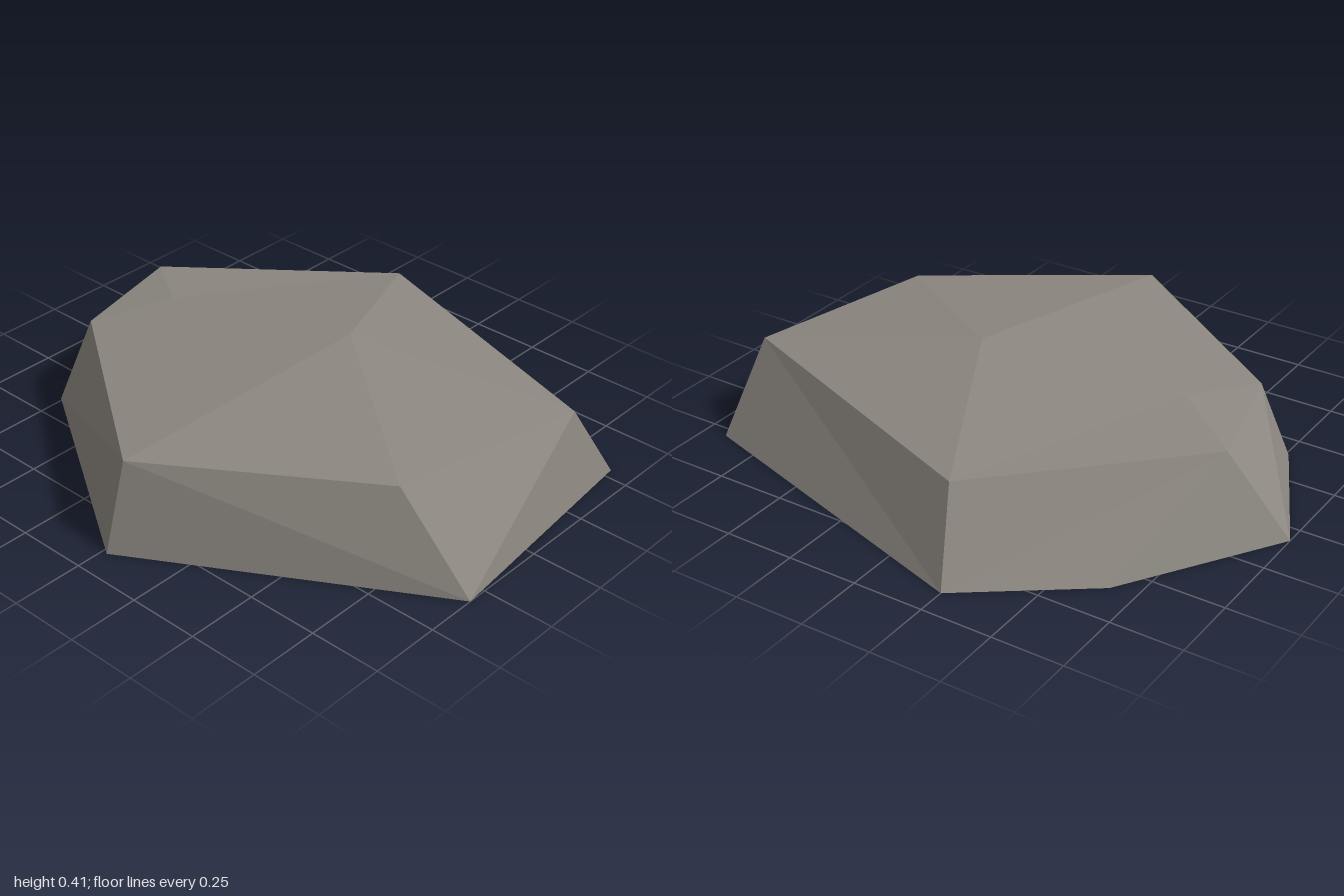
import * as THREE from 'three';

const stone = new THREE.MeshStandardMaterial({ color: 0x8c8780 });
stone.name = 'warm grey stone';
stone.side = THREE.DoubleSide;
stone.flatShading = true;

// Ground outline, clockwise from above, starting at the back: x, z
const base = [[-0.25, -0.9], [0.915, -0.54], [1, 0.32], [0.02, 0.9], [-0.76, 0.4], [-1, -0.07], [-0.66, -0.6]]
  .map(([x, z]) => [x, 0, z]);

// Shoulder rim, one point above each of the first six base points
const rim = [[-0.16, 0.27, -0.72], [0.875, 0.307, -0.35], [0.73, 0.305, 0.34],
  [0.02, 0.305, 0.81], [-0.69, 0.3, 0.3], [-0.8, 0.295, -0.14]];

// Crown points
const peak = [0.14, 0.405, -0.105];
const bump = [-0.55, 0.335, 0.04];

function facetMesh(name, triangles) {
  const geometry = new THREE.BufferGeometry();
  geometry.setAttribute('position', new THREE.Float32BufferAttribute(triangles.flat(2), 3));
  geometry.computeVertexNormals();
  const mesh = new THREE.Mesh(geometry, stone);
  mesh.name = name;
  return mesh;
}

export function createModel() {
  const group = new THREE.Group();
  group.name = 'rock';

  // Sloping sides: each four-cornered facet is split along its ridge
  const sides = [];
  for (let i = 0; i < 5; i++) {
    const [p, q, r, s] = [base[i], rim[i], rim[i + 1], base[i + 1]];
    if (i === 2) sides.push([p, q, r], [p, r, s]);
    else if (i === 0) sides.push([p, q, r], [p, r, s]);
    else sides.push([p, q, s], [q, r, s]);
  }
  // The extra base corner at the back left
  sides.push([base[5], rim[5], base[6]], [base[6], rim[5], base[0]], [rim[5], rim[0], base[0]]);
  group.add(facetMesh('rockSides', sides));

  // Shallow crown fanning out from the peak, with a low bump on one side
  const crown = [];
  const ring = [...rim.slice(0, 5), bump];
  ring.forEach((p, i) => crown.push([peak, ring[(i + 1) % ring.length], p]));
  crown.push([bump, rim[5], rim[4]], [bump, rim[0], rim[5]]);
  group.add(facetMesh('rockTop', crown));

  return group;
}
